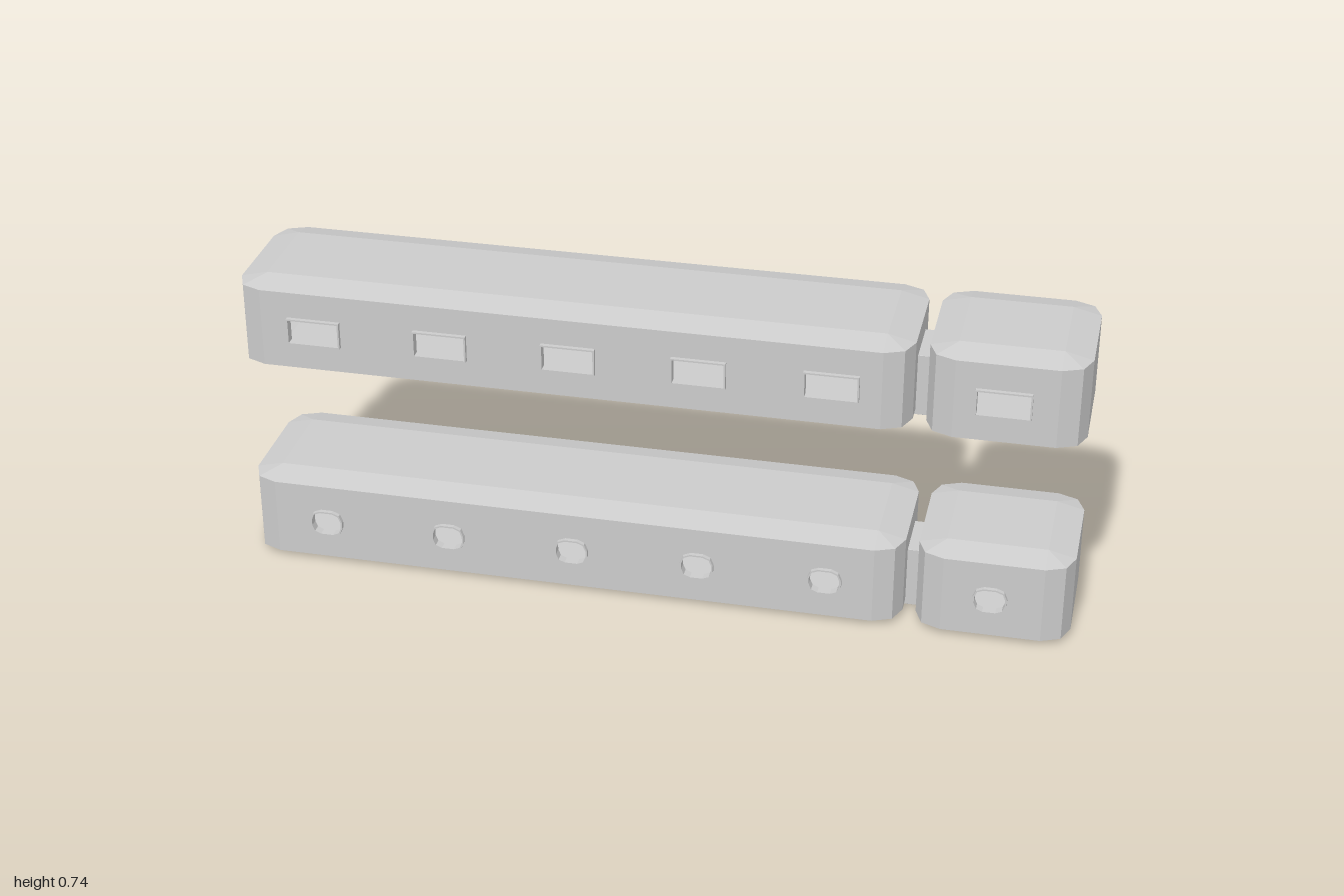
import * as THREE from 'three';

const HALF_Z = 0.176, R = 0.065;                   // hull half depth, corner radius
const WALL0 = 0.013, WALL1 = 0.207, TOP = 0.223;   // wall bottom, wall top, roof
const DOOR_W = 0.066, DOOR_H = 0.152, SILL = 0.11;

const shell = new THREE.MeshStandardMaterial({ color: 0xcccccc, flatShading: true, side: THREE.DoubleSide });
const oneSided = new THREE.MeshStandardMaterial({ color: 0xcccccc, flatShading: true });

function add(group, name, geometry, material = shell) {
  const mesh = new THREE.Mesh(geometry, material);
  mesh.name = name;
  group.add(mesh);
  return mesh;
}

// Rounded rectangle as 12 points: three per corner
function outline(hw, hh, r, cx = 0, cy = 0) {
  const pts = [];
  for (let k = 0; k < 4; k++) {
    const sx = k === 0 || k === 3 ? 1 : -1, sy = k < 2 ? 1 : -1;
    for (let j = 0; j < 3; j++) {
      const a = (k + j / 2) * Math.PI / 2;
      pts.push(new THREE.Vector2(cx + sx * (hw - r) + r * Math.cos(a), cy + sy * (hh - r) + r * Math.sin(a)));
    }
  }
  return pts;
}

// Strip of quads between two horizontal rings
function strip(low, y0, high, y1, { flip = false, cornersOnly = false } = {}) {
  const pos = [];
  for (let i = 0; i < 12; i++) {
    if (cornersOnly && i % 3 === 2) continue;
    const j = (i + 1) % 12;
    const a = [low[i].x, y0, low[i].y], b = [high[i].x, y1, high[i].y];
    const c = [high[j].x, y1, high[j].y], d = [low[j].x, y0, low[j].y];
    pos.push(...(flip ? [a, c, b, a, d, c] : [a, b, c, a, c, d]).flat());
  }
  const g = new THREE.BufferGeometry();
  g.setAttribute('position', new THREE.Float32BufferAttribute(pos, 3));
  g.computeVertexNormals();
  return g;
}

// Thin ring extruded along z, centred on z = 0
function frame(hw, hh, r, thick, depth) {
  const s = new THREE.Shape(outline(hw, hh, r));
  s.holes.push(new THREE.Path(outline(hw - thick, hh - thick, Math.max(r - thick, 0.0005))));
  return new THREE.ExtrudeGeometry(s, { depth, bevelEnabled: false }).translate(0, 0, -depth / 2);
}

function cabin(name, x0, x1, windows, win, doors, openUnderside) {
  const g = new THREE.Group();
  g.name = name;
  const cx = (x0 + x1) / 2, hw = (x1 - x0) / 2;
  g.position.x = cx;
  const full = outline(hw, HALF_Z, R), inset = outline(hw - R, HALF_Z - R, 0.0005);

  // Faceted corners, sloping roof edge and floor edge
  add(g, 'corners', strip(full, WALL0, full, WALL1, { cornersOnly: true }));
  add(g, 'roofEdge', strip(full, WALL1, inset, TOP));
  add(g, 'floorEdge', strip(inset, 0, full, WALL0, { flip: openUnderside }), openUnderside ? oneSided : shell);
  const flat = () => new THREE.PlaneGeometry(2 * (hw - R), 2 * (HALF_Z - R));
  add(g, 'roof', flat().rotateX(-Math.PI / 2).translate(0, TOP, 0));
  add(g, 'floor', flat().rotateX(Math.PI / 2));

  for (const s of [1, -1]) {
    // Long walls with window openings and protruding frames
    const wall = new THREE.Shape([[-1, WALL0], [1, WALL0], [1, WALL1], [-1, WALL1]]
      .map(([u, y]) => new THREE.Vector2(u * (hw - R), y)));
    for (const wx of windows) {
      wall.holes.push(new THREE.Path(outline(win.hw, win.hh, win.r, s * (wx - cx), SILL)));
      add(g, 'windowFrame', frame(win.hw, win.hh, win.r, 0.004, 0.022)).position.set(wx - cx, SILL, s * 0.175);
    }
    const side = new THREE.ShapeGeometry(wall).translate(0, 0, HALF_Z);
    add(g, s > 0 ? 'frontWall' : 'backWall', s > 0 ? side : side.rotateY(Math.PI));

    // End walls, notched where there is a doorway
    const w = HALF_Z - R, d = DOOR_W;
    const pts = [[-w, WALL0]];
    if (doors.includes(s)) pts.push([-d, WALL0], [-d, DOOR_H], [d, DOOR_H], [d, WALL0]);
    pts.push([w, WALL0], [w, WALL1], [-w, WALL1]);
    const end = new THREE.ShapeGeometry(new THREE.Shape(pts.map(([u, y]) => new THREE.Vector2(u, y))));
    add(g, s > 0 ? 'leftEndWall' : 'rightEndWall', end.translate(0, 0, hw).rotateY(s * Math.PI / 2));
  }
  return g;
}

// Open rectangular passage between x0 and x1
function passage(name, x0, x1) {
  const g = new THREE.Group();
  g.name = name;
  add(g, name, frame(DOOR_W, DOOR_H / 2, 0.0005, 0.004, x1 - x0).rotateY(Math.PI / 2))
    .position.set((x0 + x1) / 2, DOOR_H / 2, 0);
  return g;
}

function level(name, y, win, openUnderside) {
  const g = new THREE.Group();
  g.name = name;
  g.position.y = y;
  const spaced = [0, 1, 2, 3, 4].map(i => -0.794 + i * 0.305);
  g.add(cabin('longCabin', -0.987, 0.605, spaced, win, [1, -1], false));
  g.add(cabin('shortCabin', 0.636, 1, [0.813], win, [-1], openUnderside));
  g.add(passage('entryCollar', -1, -0.975));
  g.add(passage('connectingPassage', 0.595, 0.646));
  return g;
}

export function createModel() {
  const model = new THREE.Group();
  model.name = 'modularCabins';
  model.add(level('lowerLevel', 0, { hw: 0.04, hh: 0.033, r: 0.025 }, true));
  model.add(level('upperLevel', 0.517, { hw: 0.064, hh: 0.033, r: 0.0008 }, false));
  return model;
}
